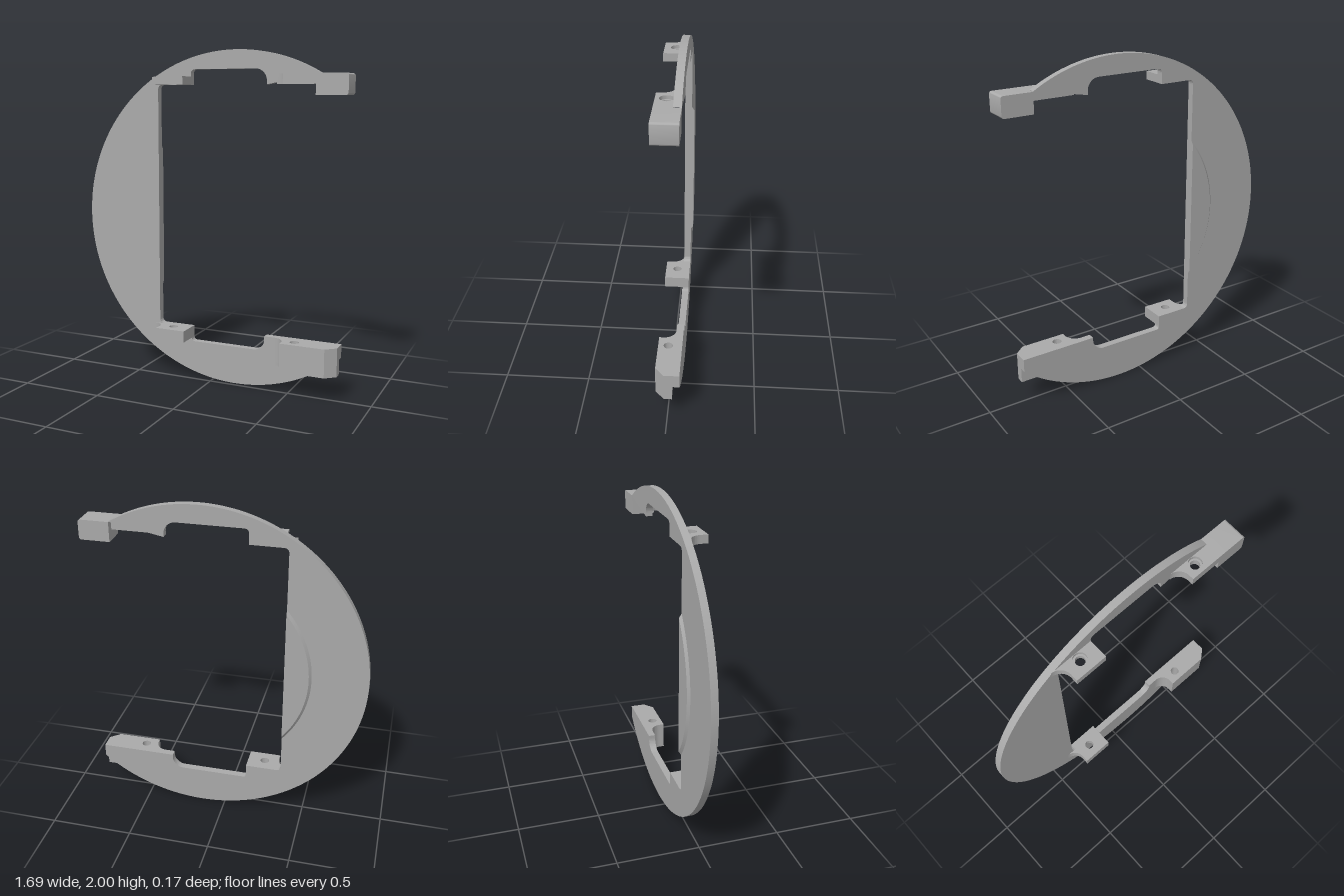
import * as THREE from 'three';
import { toCreasedNormals } from 'three/addons/utils/BufferGeometryUtils.js';

const CX = 0.15, CY = 1;            // centre of the ring
const BACK = -0.07, FACE = -0.028;  // plate back and front

export function createModel() {
  const group = new THREE.Group();
  const grey = new THREE.MeshStandardMaterial({ color: 0xaaaaaa });
  grey.name = 'grey';

  const add = (name, geo, parent = group) => {
    const mesh = new THREE.Mesh(toCreasedNormals(geo, 0.5), grey);
    mesh.name = name;
    parent.add(mesh);
  };
  const extrude = (shape, depth, curveSegments = 12) =>
    new THREE.ExtrudeGeometry(shape, { depth, bevelEnabled: false, curveSegments });

  // C-shaped plate: round outside, stepped opening
  const topEnd = Math.atan2(0.86, 0.51), lowEnd = Math.atan2(-0.76, 0.65);
  const plate = new THREE.Shape();
  plate.moveTo(0.66, 1.8);
  plate.absarc(CX, CY, 1, topEnd, lowEnd + Math.PI * 2, false);
  plate.lineTo(0.8, 0.32);
  plate.lineTo(0.34, 0.32);
  plate.lineTo(0.34, 0.3);
  plate.absarc(0.27, 0.3, 0.07, 0, -Math.PI / 2, true);
  plate.lineTo(-0.12, 0.23);
  plate.quadraticCurveTo(-0.14, 0.23, -0.14, 0.25);
  plate.lineTo(-0.14, 0.32);
  plate.lineTo(-0.33, 0.32);
  plate.quadraticCurveTo(-0.36, 0.32, -0.36, 0.35);
  plate.lineTo(-0.36, 1.77);
  plate.quadraticCurveTo(-0.36, 1.8, -0.33, 1.8);
  plate.lineTo(-0.14, 1.8);
  plate.lineTo(-0.14, 1.86);
  plate.quadraticCurveTo(-0.14, 1.89, -0.11, 1.89);
  plate.lineTo(0.27, 1.89);
  plate.absarc(0.27, 1.82, 0.07, Math.PI / 2, 0, true);
  plate.lineTo(0.34, 1.8);
  plate.closePath();
  add('ringPlate', extrude(plate, FACE - BACK, 64).translate(0, 0, BACK));

  // Lugs: footprint in x and z with a concave root, a screw hole and a wider recess
  function addLug(name, x0, x1, z1, y0, y1, holeX, recessOnTop, chamfer = 0) {
    const lug = new THREE.Group();
    lug.name = name;
    const recess = 0.02;
    const layer = (radius, bottom, top) => {
      const s = new THREE.Shape();
      s.moveTo(x0 - 0.07, -FACE);
      s.absarc(x0 - 0.07, -FACE - 0.07, 0.07, Math.PI / 2, 0, true);
      s.lineTo(x0, -z1);
      s.lineTo(x1 - chamfer, -z1);
      if (chamfer) s.lineTo(x1, -z1 + chamfer * 0.85);
      s.lineTo(x1, -FACE);
      s.closePath();
      const hole = new THREE.Path();
      hole.absarc(holeX, -0.011, radius, 0, Math.PI * 2, true);
      s.holes.push(hole);
      add('lugLayer', extrude(s, top - bottom).rotateX(-Math.PI / 2).translate(0, bottom, 0), lug);
    };
    if (recessOnTop) {
      layer(0.027, y0, y1 - recess);
      layer(0.038, y1 - recess, y1);
    } else {
      layer(0.038, y0, y0 + recess);
      layer(0.027, y0 + recess, y1);
    }
    group.add(lug);
  }
  addLug('upperLeftLug', -0.33, -0.14, 0.085, 1.8, 1.848, -0.245, true);
  addLug('lowerLeftLug', -0.33, -0.14, 0.085, 0.25, 0.32, -0.245, false);
  addLug('upperRightLug', 0.47, 0.66, 0.07, 1.8, 1.858, 0.542, true);
  addLug('lowerRightLug', 0.47, 0.8, 0.07, 0.15, 0.32, 0.542, false, 0.06);

  // Thick end block on the upper arm, outer corners eased
  const end = new THREE.Shape();
  end.moveTo(0.66, 1.74);
  end.lineTo(0.825, 1.74);
  end.quadraticCurveTo(0.842, 1.74, 0.842, 1.757);
  end.lineTo(0.842, 1.841);
  end.quadraticCurveTo(0.842, 1.858, 0.825, 1.858);
  end.lineTo(0.66, 1.858);
  end.closePath();
  add('upperEndBlock', extrude(end, 0.07 - BACK).translate(0, 0, BACK));

  // Raised segment on the back, with its curved rim sloping inwards
  const R = 0.67, r = 0.655, chord = 0.51;
  const a1 = Math.acos(chord / R), a2 = Math.acos(chord / r);
  const pad = new THREE.Shape();
  pad.absarc(CX, CY, R, Math.PI - a1, Math.PI + a1, false);
  pad.closePath();
  const padGeo = extrude(pad, 0.015, 40).translate(0, 0, BACK - 0.015);
  const p = padGeo.attributes.position;
  for (let i = 0; i < p.count; i++) {
    if (p.getZ(i) > BACK - 0.01) continue;
    const a = Math.atan2(p.getY(i) - CY, CX - p.getX(i)) * a2 / a1;
    p.setXY(i, CX - r * Math.cos(a), CY + r * Math.sin(a));
  }
  padGeo.computeVertexNormals();
  add('backPad', padGeo);

  return group;
}
